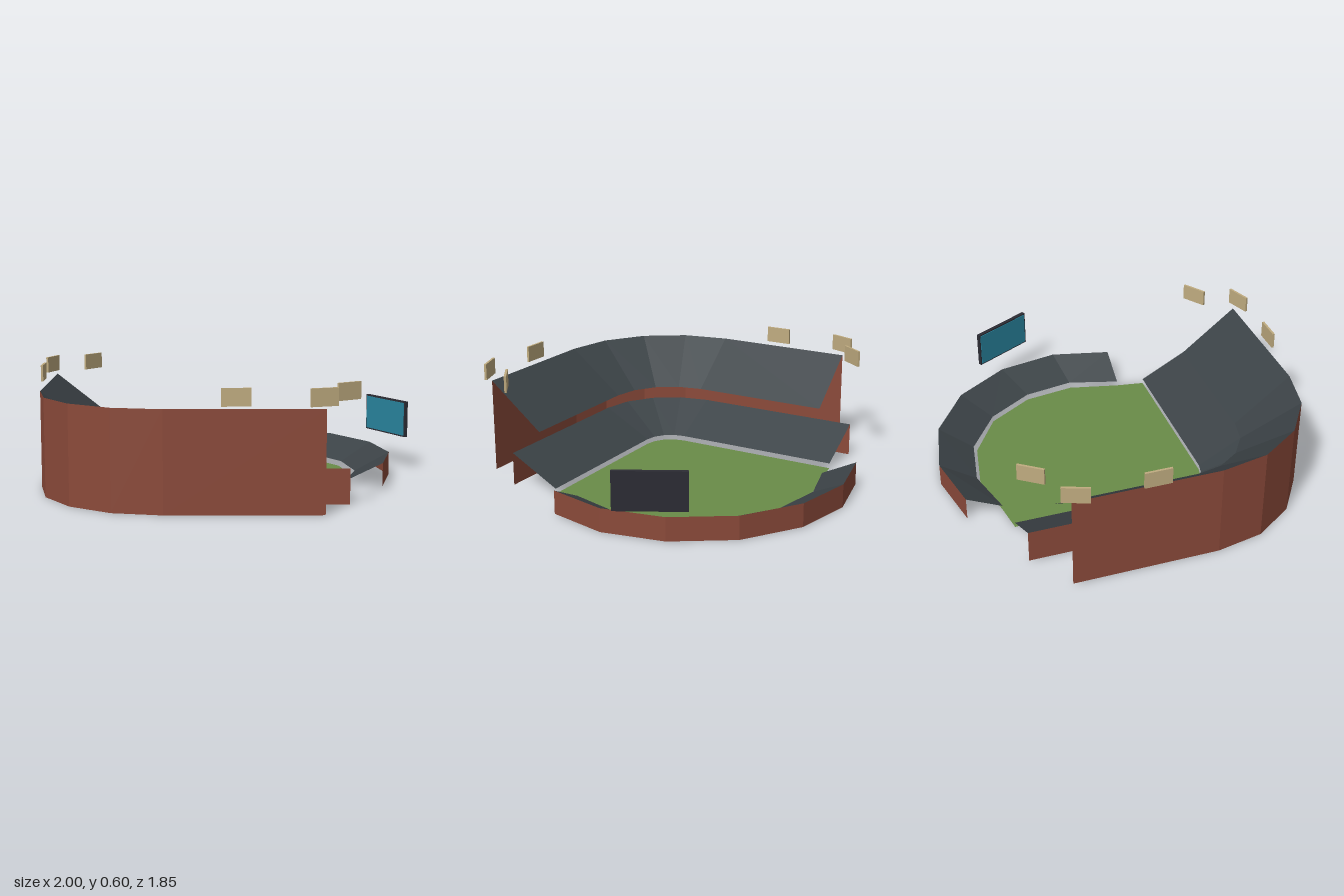
import * as THREE from 'three';

const paint = (color) => new THREE.MeshStandardMaterial({ color, flatShading: true, side: THREE.DoubleSide });

const brick = paint(0x8b4a3a);
const seats = paint(0x3c4347);
const grass = paint(0x6a8c48);
const tan = paint(0xc0ac80);
const frame = paint(0x2c2c34);
const screen = paint(0x2a86a0);

// Ribbon between two [x, z] paths of equal length at heights ya and yb
function ribbon(name, material, a, ya, b, yb) {
  const pos = [];
  for (let i = 0; i < a.length - 1; i++) {
    const A = [a[i][0], ya, a[i][1]], B = [a[i + 1][0], ya, a[i + 1][1]];
    const C = [b[i + 1][0], yb, b[i + 1][1]], D = [b[i][0], yb, b[i][1]];
    pos.push(...A, ...B, ...C, ...A, ...C, ...D);
  }
  const geo = new THREE.BufferGeometry();
  geo.setAttribute('position', new THREE.Float32BufferAttribute(pos, 3));
  geo.computeVertexNormals();
  const mesh = new THREE.Mesh(geo, material);
  mesh.name = name;
  return mesh;
}

// Sloped seating with a vertical wall behind it
function stand(name, inner, yInner, outer, yOuter) {
  const g = new THREE.Group();
  g.name = name;
  g.add(ribbon(name + 'Seats', seats, inner, yInner, outer, yOuter));
  g.add(ribbon(name + 'Wall', brick, outer, 0, outer, yOuter));
  return g;
}

// L-shaped path with a rounded corner, turned ten degrees
function cornerPath(radius, leftArm, rightArm) {
  const cx = -0.198, cz = 0.289, tilt = THREE.MathUtils.degToRad(10);
  const s = Math.sin(tilt), c = Math.cos(tilt);
  const pts = [];
  for (let i = 0; i <= 4; i++) {
    const t = Math.PI - tilt - (i / 4) * Math.PI / 2;
    pts.push([cx + radius * Math.cos(t), cz + radius * Math.sin(t)]);
  }
  const first = pts[0], last = pts[4];
  pts.unshift([first[0] - leftArm * s, first[1] - leftArm * c]);
  pts.push([last[0] + rightArm * c, last[1] - rightArm * s]);
  return pts;
}

// Upright panel whose width follows direction (dx, dz)
function panel(name, material, size, x, y, z, dx, dz) {
  const mesh = new THREE.Mesh(new THREE.BoxGeometry(...size), material);
  mesh.name = name;
  mesh.position.set(x, y, z);
  mesh.rotation.y = Math.atan2(-dz, dx);
  return mesh;
}

export function createModel() {
  const model = new THREE.Group();
  model.name = 'stadium';

  // Main grandstand tiers
  const lowerInner = cornerPath(0.15, 0.905, 0.888);
  model.add(stand('lowerStand', lowerInner, 0.03, cornerPath(0.415, 0.905, 0.888), 0.175));
  model.add(stand('upperStand', cornerPath(0.345, 0.75, 0.75), 0.26, cornerPath(0.641, 0.75, 0.75), 0.495));

  // Curved outfield stand
  const outInner = [[-0.36, -0.626], [-0.107, -0.743], [0.175, -0.743], [0.447, -0.62], [0.64, -0.406], [0.73, -0.15], [0.7, 0.13]];
  const outOuter = [[-0.396, -0.81], [-0.09, -0.932], [0.24, -0.925], [0.556, -0.786], [0.79, -0.535], [0.907, -0.225], [0.887, 0.1]];
  model.add(stand('outfieldStand', outInner, 0.03, outOuter, 0.122));

  // Playing field
  const edge = [...lowerInner, [0.7, 0.13], [0.716, -0.146], [0.63, -0.406], [0.44, -0.618], [0.174, -0.726], [-0.107, -0.726], [-0.36, -0.626]];
  const shape = new THREE.Shape(edge.map(([x, z]) => new THREE.Vector2(x, -z)));
  const field = new THREE.Mesh(new THREE.ShapeGeometry(shape), grass);
  field.name = 'field';
  field.rotation.x = -Math.PI / 2;
  field.position.y = 0.003;
  model.add(field);

  // Scoreboard facing the field
  const board = panel('scoreboard', frame, [0.355, 0.195, 0.02], 0.882, 0.277, -0.522, 0.62, 0.785);
  const display = new THREE.Mesh(new THREE.BoxGeometry(0.34, 0.18, 0.004), screen);
  display.name = 'scoreboardScreen';
  display.position.z = 0.011;
  board.add(display);
  model.add(board);

  // Floodlight panels: x, z, direction of width
  const lights = [
    [-0.797, -0.505, 0.06, -0.125], [-0.981, -0.32, 0.024, -0.136], [-0.912, 0.072, 0.024, 0.136],
    [0.247, 0.886, 0.136, -0.024], [0.642, 0.815, 0.12, -0.068], [0.739, 0.58, 0.098, -0.095],
  ];
  lights.forEach(([x, z, dx, dz], i) => {
    model.add(panel('floodlight' + (i + 1), tan, [0.137, 0.085, 0.012], x, 0.553, z, dx, dz));
  });

  return model;
}
